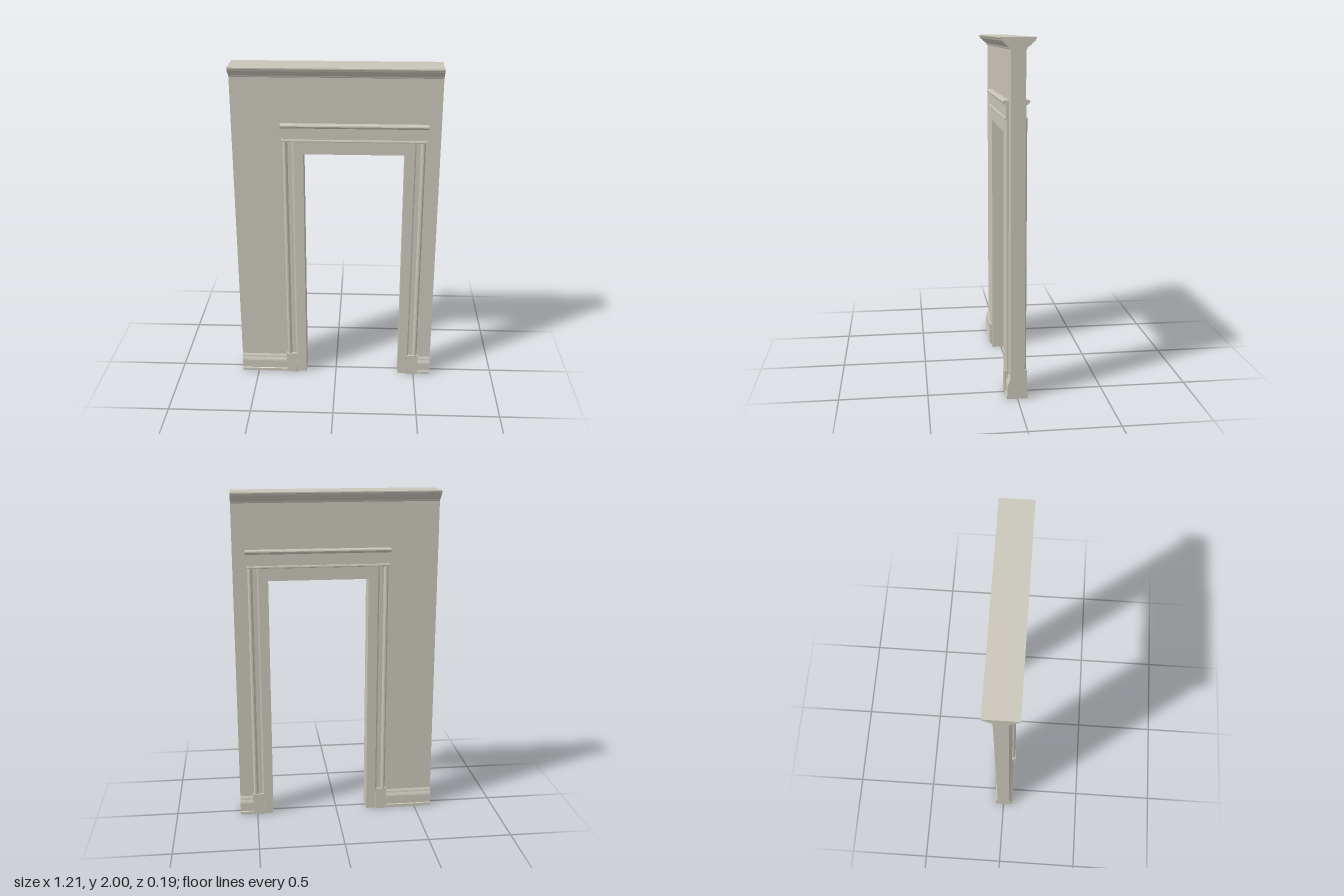
import * as THREE from 'three';

const stone = new THREE.MeshStandardMaterial({ color: 0xc9c5ba });
stone.name = 'warm grey stone';

const DOOR_X = 0.105;   // centre of the off-centre opening
const DOOR_HALF = 0.295;
const DOOR_TOP = 1.487;
const WALL_HALF = 0.605;

function polygon(points) {
  return new THREE.Shape(points.map(([x, y]) => new THREE.Vector2(x, y)));
}

function extrude(points, depth) {
  return new THREE.ExtrudeGeometry(polygon(points), { depth, bevelEnabled: false });
}

// Points [z, y] from bottom to top, mirrored front to back and swept along x
function moulding(name, side, x0, x1) {
  const back = side.map(([z, y]) => [-z, y]).reverse();
  const geometry = extrude([...side, ...back], x1 - x0);
  geometry.rotateY(Math.PI / 2).translate(x0, 0, 0);
  const mesh = new THREE.Mesh(geometry, stone);
  mesh.name = name;
  return mesh;
}

// Points [distance from door centre, z], mirrored front to back and swept up
function upright(name, plan, sign, y0, y1) {
  const full = [...plan, ...plan.map(([d, z]) => [d, -z]).reverse()];
  const geometry = extrude(full.map(([d, z]) => [DOOR_X + sign * d, z]), y1 - y0);
  geometry.rotateX(-Math.PI / 2).translate(0, y0, 0);
  const mesh = new THREE.Mesh(geometry, stone);
  mesh.name = name;
  return mesh;
}

export function createModel() {
  const model = new THREE.Group();
  model.name = 'doorwayWall';

  // Wall with the doorway cut out of it
  const l = DOOR_X - DOOR_HALF, r = DOOR_X + DOOR_HALF;
  const wallGeometry = extrude([
    [-WALL_HALF, 0], [l, 0], [l, DOOR_TOP], [r, DOOR_TOP],
    [r, 0], [WALL_HALF, 0], [WALL_HALF, 1.95], [-WALL_HALF, 1.95],
  ], 0.08).translate(0, 0, -0.04);
  const wall = new THREE.Mesh(wallGeometry, stone);
  wall.name = 'wall';
  model.add(wall);

  // Cornice, flush with the wall ends
  const cornice = [
    [0.04, 1.935], [0.045, 1.938], [0.048, 1.947], [0.056, 1.953],
    [0.066, 1.96], [0.073, 1.968], [0.077, 1.972], [0.083, 1.975],
    [0.088, 1.981], [0.091, 1.989], [0.096, 1.993], [0.096, 2],
  ];
  model.add(moulding('cornice', cornice, -WALL_HALF, WALL_HALF));

  // Baseboards on either side of the door surround
  const base = [
    [0.06, 0], [0.06, 0.018], [0.056, 0.022], [0.056, 0.075],
    [0.053, 0.085], [0.048, 0.095], [0.046, 0.106], [0.04, 0.118],
  ];
  model.add(moulding('baseboardRight', base, -WALL_HALF, DOOR_X - 0.415));
  model.add(moulding('baseboardLeft', base, DOOR_X + 0.415, WALL_HALF));

  // Moulded jambs with plinth blocks
  const jamb = [
    [0.295, 0.055], [0.352, 0.055], [0.36, 0.051], [0.386, 0.051],
    [0.392, 0.058], [0.397, 0.061], [0.405, 0.061], [0.41, 0.057], [0.414, 0.049],
  ];
  const plinth = [[0.353, 0.065], [0.42, 0.065]];
  for (const [sign, label] of [[-1, 'Right'], [1, 'Left']]) {
    model.add(upright('jamb' + label, jamb, sign, 0, 1.565));
    model.add(upright('plinth' + label, plinth, sign, 0, 0.137));
  }

  // Lintel, thin band, frieze and cap over the opening
  const across = (name, half, profile) =>
    model.add(moulding(name, profile, DOOR_X - half, DOOR_X + half));
  across('lintel', 0.353, [[0.055, DOOR_TOP], [0.055, 1.565]]);
  across('headBand', 0.419, [[0.055, 1.56], [0.061, 1.562], [0.062, 1.568], [0.06, 1.575], [0.055, 1.577]]);
  across('frieze', 0.412, [[0.056, 1.562], [0.056, 1.655]]);
  across('headCap', 0.426, [
    [0.057, 1.643], [0.064, 1.646], [0.068, 1.651], [0.072, 1.653],
    [0.074, 1.659], [0.072, 1.666], [0.067, 1.669],
  ]);

  return model;
}
